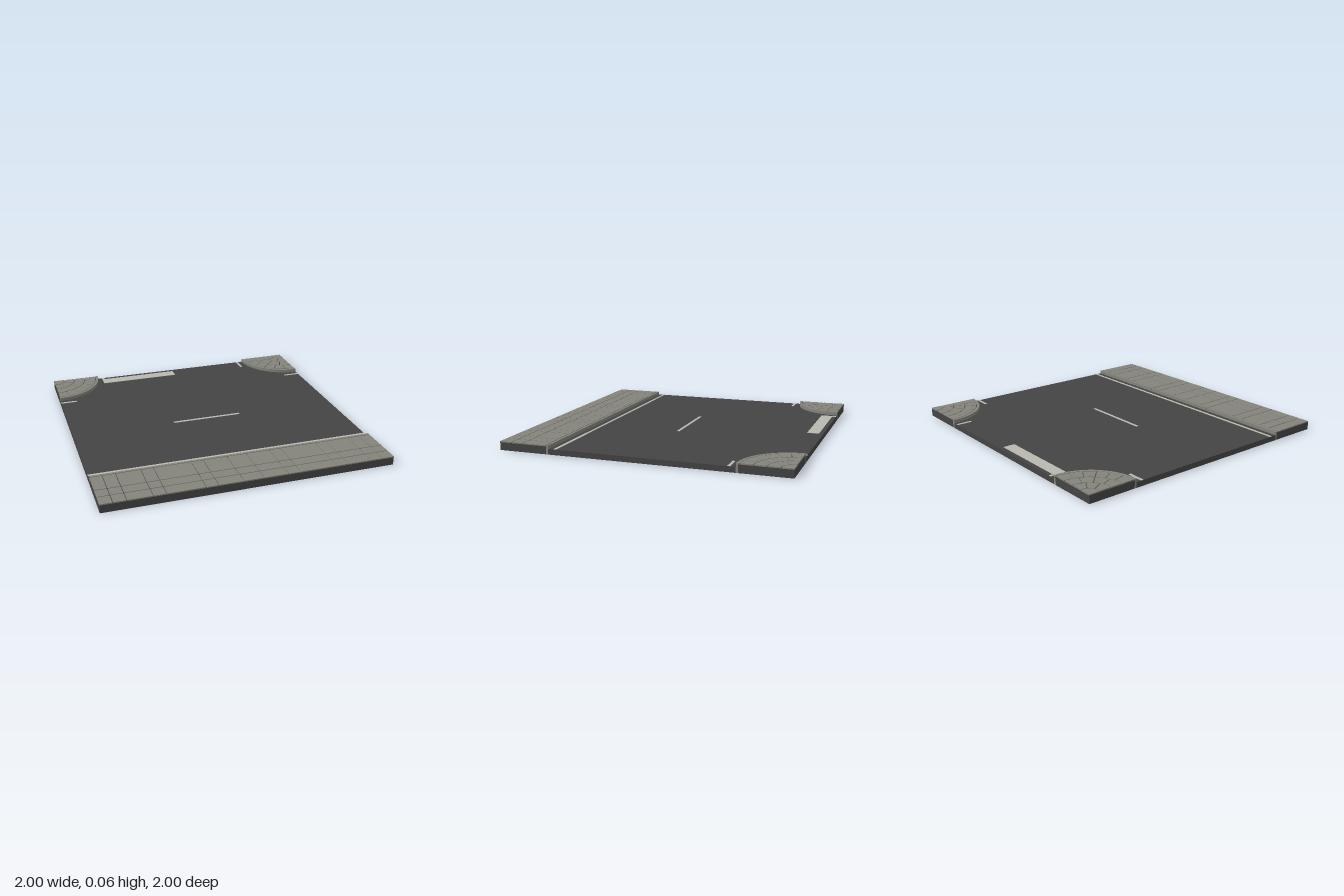
import * as THREE from 'three';

const asphalt = new THREE.MeshStandardMaterial({ color: 0x444444, side: THREE.DoubleSide });
asphalt.name = 'asphalt';
const stone = new THREE.MeshStandardMaterial({ color: 0x84847c });
stone.name = 'stone';
const paint = new THREE.MeshStandardMaterial({ color: 0xb8b8b0 });
paint.name = 'road paint';

const ROAD = 0.038, BED = 0.054, TOP = 0.062; // heights of road, paving bed, paving
const R = 0.36, CURB = 0.02, GAP = 0.006;

export function createModel() {
  const root = new THREE.Group();
  root.name = 'junctionTile';

  const add = (name, geometry, material, parent = root) => {
    const mesh = new THREE.Mesh(geometry, material);
    mesh.name = name;
    parent.add(mesh);
    return mesh;
  };
  const group = (name) => {
    const g = new THREE.Group();
    g.name = name;
    root.add(g);
    return g;
  };
  // Box given by its limits
  const box = (name, x0, x1, y0, y1, z0, z1, material, parent) => {
    const g = new THREE.BoxGeometry(x1 - x0, y1 - y0, z1 - z0);
    g.translate((x0 + x1) / 2, (y0 + y1) / 2, (z0 + z1) / 2);
    return add(name, g, material, parent);
  };
  // Flat sheet from a shape drawn with y = -z
  const sheet = (name, shape, y, parent) =>
    add(name, new THREE.ShapeGeometry(shape, 24).rotateX(-Math.PI / 2).translate(0, y, 0), asphalt, parent);
  // Upright outer wall between two ground points
  const wall = (x0, z0, x1, z1, h) => {
    const g = new THREE.PlaneGeometry(Math.hypot(x1 - x0, z1 - z0), h);
    g.rotateY(Math.atan2(z0 - z1, x1 - x0));
    g.translate((x0 + x1) / 2, h / 2, (z0 + z1) / 2);
    add('outerWall', g, asphalt);
  };
  // Ring sector shape around (cx, cy)
  const sector = (cx, cy, r0, r1, a0, a1, inset = 0) => {
    const s = new THREE.Shape();
    const i1 = inset / r1, i0 = r0 > 0 ? inset / r0 : 0;
    s.absarc(cx, cy, r1, a0 + i1, a1 - i1, false);
    if (r0 > 0) s.absarc(cx, cy, r0, a1 - i0, a0 + i0, true);
    else s.lineTo(cx, cy);
    s.closePath();
    return s;
  };
  const block = (name, shape, y0, y1, parent) => {
    const g = new THREE.ExtrudeGeometry(shape, { depth: y1 - y0, bevelEnabled: false, curveSegments: 16 });
    add(name, g.rotateX(-Math.PI / 2).translate(0, y0, 0), stone, parent);
  };

  // Road surface with two rounded corners cut out
  const road = new THREE.Shape();
  road.moveTo(-1, -0.64);
  road.lineTo(1, -0.64);
  road.lineTo(1, 0.64);
  road.absarc(1, 1, R, Math.PI * 1.5, Math.PI, true);
  road.lineTo(-0.64, 1);
  road.absarc(-1, 1, R, 0, -Math.PI / 2, true);
  road.closePath();
  sheet('road', road, ROAD);

  // Outer walls of the open-bottomed tile
  wall(-1, 1, 1, 1, BED);
  wall(-0.64, -1, 0.64, -1, ROAD);
  for (const s of [-1, 1]) {
    wall(s, 0.655, s, 1, BED);
    wall(s, -0.64, s, 0.64, ROAD);
    wall(s, -1, s, -0.655, BED);
    wall(s, -1, s * 0.655, -1, BED);
  }

  // Straight pavement: bed, curb stones and paving slabs
  const pavement = group('pavement');
  const bed = new THREE.PlaneGeometry(2, 0.36).rotateX(-Math.PI / 2).translate(0, BED, 0.82);
  add('pavementBed', bed, asphalt, pavement);
  const joints = [-1, -0.32, 0.32, 1];
  for (let i = 0; i < 3; i++) {
    const a = joints[i] + (i > 0 ? 0.002 : 0), b = joints[i + 1] - (i < 2 ? 0.002 : 0);
    box('curbStone', a, b, 0, TOP, 0.637, 0.655, stone, pavement);
  }
  const columns = [-1, -0.917, -0.83, -0.663, -0.578, -0.32, -0.237, -0.07, 0.067,
    0.237, 0.32, 0.578, 0.663, 0.83, 0.915, 1];
  const rows = [0.658, 0.828, 0.912, 1];
  for (let c = 0; c < columns.length - 1; c++) {
    for (let r = 0; r < 3; r++) {
      box('pavingSlab',
        columns[c] + (c > 0 ? GAP / 2 : 0), columns[c + 1] - (c < columns.length - 2 ? GAP / 2 : 0),
        BED, TOP,
        rows[r] + GAP / 2, rows[r + 1] - (r < 2 ? GAP / 2 : 0), stone, pavement);
    }
  }

  // Rounded corner pavements with rings of wedge stones
  const radii = [0, 0.083, 0.167, 0.25, 0.338];
  const counts = [1, 3, 4, 6];
  for (const s of [-1, 1]) {
    const corner = group(s < 0 ? 'rightCorner' : 'leftCorner');
    const start = s < 0 ? -Math.PI / 2 : Math.PI;
    const quarter = Math.PI / 2;
    sheet('cornerBed', sector(s, 1, 0, R - 0.01, start, start + quarter), BED, corner);
    block('cornerCurb', sector(s, 1, R - CURB, R, start, start + quarter), 0, TOP, corner);
    counts.forEach((n, k) => {
      for (let i = 0; i < n; i++) {
        const a = start + (quarter * i) / n;
        block('wedgeStone', sector(s, 1, k ? radii[k] + GAP / 2 : 0, radii[k + 1] - GAP / 2,
          a, a + quarter / n, n > 1 ? GAP / 2 : 0), BED, TOP, corner);
      }
    });
  }

  // Painted road markings
  const markings = group('roadMarkings');
  const mark = (name, x0, x1, z0, z1) =>
    box(name, x0, x1, ROAD - 0.001, ROAD + 0.002, z0, z1, paint, markings);
  mark('centreDash', -0.255, 0.255, -0.01, 0.01);
  mark('edgeLine', -1, 1, 0.58, 0.6);
  mark('stopBar', -0.585, 0, -0.97, -0.885);
  for (const s of [-1, 1]) {
    mark('sideEdgeLine', Math.min(s, s * 0.88), Math.max(s, s * 0.88), -0.605, -0.586);
    mark('backEdgeLine', s * 0.595 - 0.01, s * 0.595 + 0.01, -1, -0.885);
  }
  return root;
}
